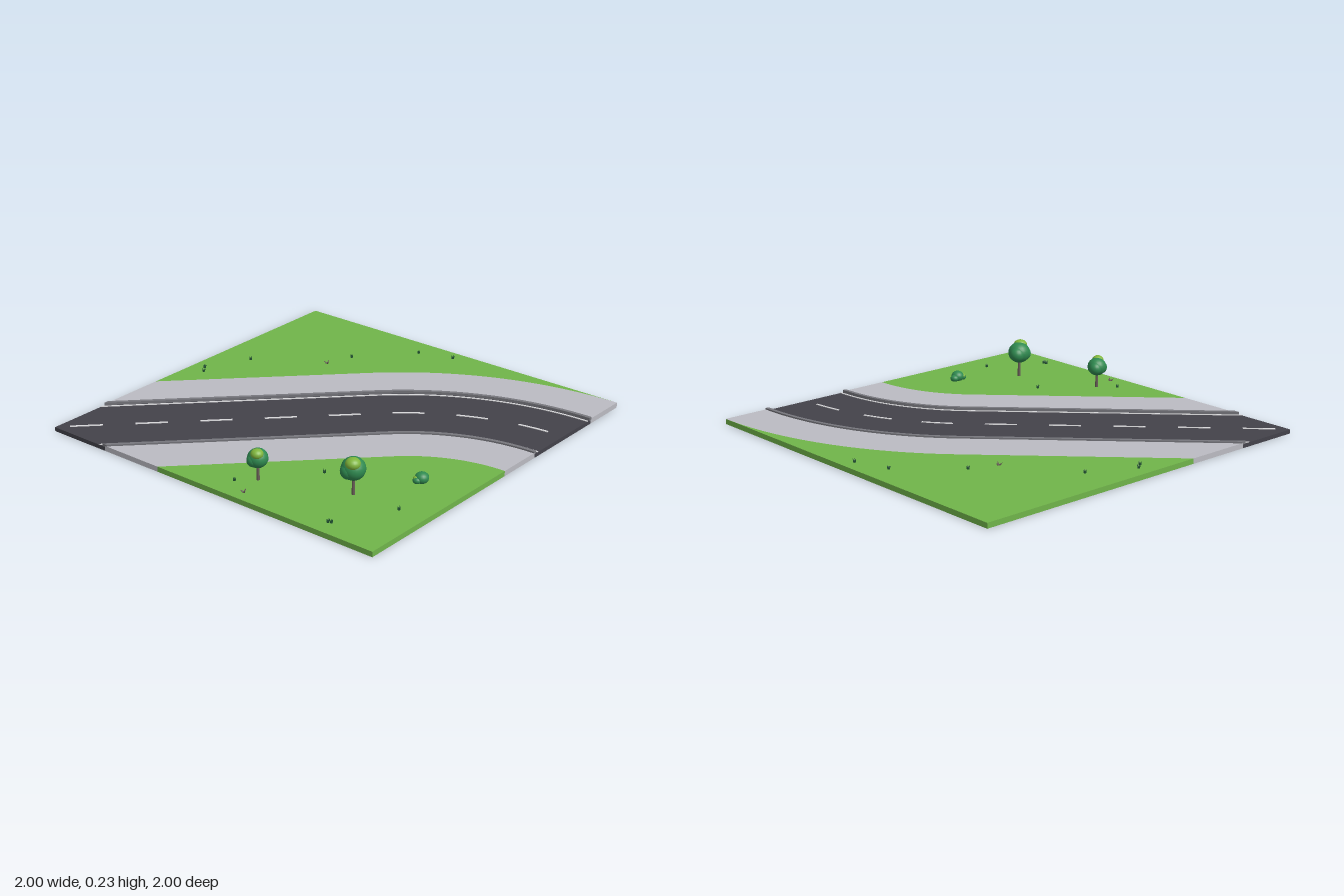
import * as THREE from 'three';

const mat = (name, color) => {
  const m = new THREE.MeshStandardMaterial({ color });
  m.name = name;
  return m;
};

export function createModel() {
  const root = new THREE.Group();
  root.name = 'roadTile';
  const grass = mat('grass', 0x70b44a);
  const paving = mat('paving', 0xbbbbc2);
  const asphalt = mat('asphalt', 0x43424a);
  const paint = mat('paint', 0xd8d8da);
  const kerbGrey = mat('kerbGrey', 0x77777d);
  const leaf = mat('leaf', 0x2f8a50);
  const lightLeaf = mat('lightLeaf', 0x7fb53c);
  const bark = mat('bark', 0x6a5f58);
  const darkLeaf = mat('darkLeaf', 0x1f5030);

  const TOP = 0.027, ROAD = 0.021;
  const R = 0.5 / (Math.SQRT2 - 1), CX = 0.5 - R; // bend radius and centre (CX, 1)
  const STRAIGHT = (CX + R * Math.SQRT1_2 + 1) * Math.SQRT2;
  const LENGTH = STRAIGHT + R * Math.PI / 4;

  const add = (parent, name, geo, material, x = 0, y = 0, z = 0) => {
    const m = new THREE.Mesh(geo, material);
    m.name = name;
    m.position.set(x, y, z);
    parent.add(m);
    return m;
  };

  // Line parallel to the road centre at offset d, trimmed at the tile edge
  function edge(d) {
    const s = Math.abs(d) * Math.SQRT2;
    const pts = [d > 0 ? [-1 + s, -1] : [-1, -1 + s]];
    for (let i = 0; i <= 28; i++) {
      const a = (1 - i / 28) * Math.PI / 4;
      pts.push([CX + (R + d) * Math.cos(a), 1 - (R + d) * Math.sin(a)]);
    }
    return pts;
  }
  // Flat slab from a plan outline of [x, z] points
  function slab(name, pts, y0, y1, material) {
    const shape = new THREE.Shape(pts.map(([x, z]) => new THREE.Vector2(x, -z)));
    const g = new THREE.ExtrudeGeometry(shape, { depth: y1 - y0, bevelEnabled: false });
    g.rotateX(-Math.PI / 2);
    add(root, name, g, material, 0, y0, 0);
  }
  const band = (name, a, b, y0, y1, m) =>
    slab(name, [...edge(a), ...edge(b).reverse()], y0, y1, m);

  // Ground
  slab('lawnOuter', [...edge(0.5), [1, -1]], 0, TOP, grass);
  slab('lawnInner', [...edge(-0.5), [-1, 1]], 0, TOP, grass);
  slab('road', [[-1, -1], ...edge(0.25), ...edge(-0.25).reverse()], 0, ROAD, asphalt);
  for (const s of [1, -1]) {
    const side = s > 0 ? 'Outer' : 'Inner';
    band('pavement' + side, s * 0.25, s * 0.5, 0, TOP, paving);
    band('kerb' + side, s * 0.238, s * 0.257, ROAD - 0.002, 0.035, kerbGrey);
    band('edgeLine' + side, s * 0.218, s * 0.228, ROAD, ROAD + 0.003, paint);
  }

  // Dashed centre line
  function at(s, d) {
    if (s < STRAIGHT) {
      const p = -1 + s * Math.SQRT1_2, o = d * Math.SQRT1_2;
      return [p + o, p - o];
    }
    const a = Math.PI / 4 - (s - STRAIGHT) / R;
    return [CX + (R + d) * Math.cos(a), 1 - (R + d) * Math.sin(a)];
  }
  for (let k = 0; k < 8; k++) {
    const left = [], right = [];
    for (let i = 0; i <= 6; i++) {
      const s = (k + 0.23 + 0.5 * i / 6) * LENGTH / 8;
      left.push(at(s, 0.006));
      right.unshift(at(s, -0.006));
    }
    slab('centreDash', [...left, ...right], ROAD, ROAD + 0.003, paint);
  }

  // Foliage blobs: [x, y, z, radius, flattening]
  const ball = new THREE.SphereGeometry(1, 20, 14);
  function blob(parent, name, m, [x, y, z, r, k = 1]) {
    add(parent, name, ball, m, x, y, z).scale.set(r, r * k, r);
  }

  // Trees
  function tree(x, z, size, crownY) {
    const g = new THREE.Group();
    g.name = 'tree';
    g.position.set(x, 0, z);
    root.add(g);
    const h = crownY - TOP;
    add(g, 'trunk', new THREE.CylinderGeometry(0.006, 0.008, h, 8), bark, 0, TOP + h / 2, 0);
    const c = new THREE.Group();
    c.name = 'crown';
    c.position.y = crownY;
    c.scale.setScalar(size);
    g.add(c);
    blob(c, 'crownMain', leaf, [0, 0, 0, 0.05, 0.95]);
    blob(c, 'crownSide', leaf, [0.025, -0.004, -0.015, 0.034]);
    blob(c, 'crownLow', leaf, [-0.02, -0.006, -0.008, 0.034]);
    blob(c, 'crownHighlight', lightLeaf, [-0.018, 0.031, 0.012, 0.031, 0.8]);
  }
  tree(-0.8, 0.165, 1, 0.14);
  tree(-0.635, 0.6, 1.18, 0.16);

  // Bush
  const bush = new THREE.Group();
  bush.name = 'bush';
  root.add(bush);
  blob(bush, 'bushMain', leaf, [-0.335, 0.048, 0.765, 0.034, 0.85]);
  blob(bush, 'bushLeft', leaf, [-0.307, 0.042, 0.757, 0.023, 0.8]);
  blob(bush, 'bushRight', leaf, [-0.36, 0.042, 0.757, 0.022, 0.8]);
  blob(bush, 'bushHighlight', lightLeaf, [-0.358, 0.049, 0.753, 0.018, 0.7]);

  // Small plants: dark tufts and bare twigs
  const blade = new THREE.ConeGeometry(0.005, 0.022, 5);
  function tuft(x, z, name, m, n, spread, tilt) {
    const g = new THREE.Group();
    g.name = name;
    g.position.set(x, TOP + 0.008, z);
    for (let i = 0; i < n; i++) {
      const a = i * Math.PI * 2 / n + x * 9;
      const b = add(g, 'blade', blade, m, Math.cos(a) * spread, 0, Math.sin(a) * spread);
      b.rotation.set(Math.sin(a) * tilt, 0, -Math.cos(a) * tilt);
    }
    root.add(g);
  }
  for (const [x, z] of [[-0.04, -0.895], [0, -0.925], [0.235, -0.81], [0.6, -0.41],
    [0.875, -0.166], [0.932, 0.02], [-0.877, 0.086], [-0.55, 0.358],
    [-0.915, 0.682], [-0.91, 0.697], [-0.622, 0.853]])
    tuft(x, z, 'grassTuft', darkLeaf, 5, 0.005, 0.3);
  for (const [x, z] of [[0.457, -0.462], [-0.936, 0.198]])
    tuft(x, z, 'twigs', bark, 3, 0.011, 0.8);

  return root;
}
